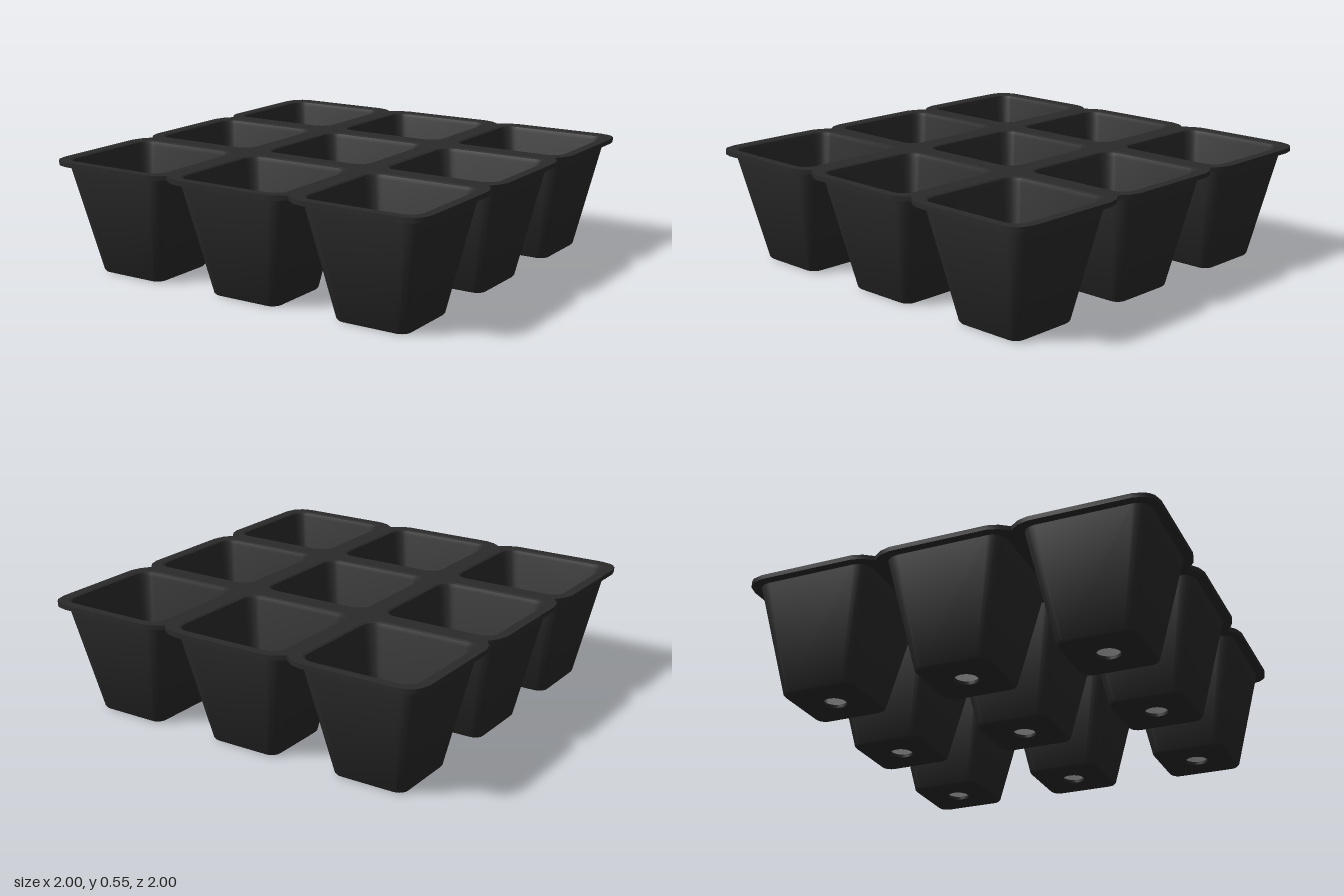
import * as THREE from 'three';
import { toCreasedNormals } from 'three/addons/utils/BufferGeometryUtils.js';

const PITCH = 0.667, TOP = 0.552, UNDER = 0.53, ARC = 5;

// Rounded square, anticlockwise, ARC + 1 points per corner; a null radius gives a circle
function ring(half, radius) {
  const points = [];
  for (let k = 0; k < 4; k++) {
    for (let i = 0; i <= ARC; i++) {
      if (radius === null) {
        const a = (k + (i + 0.5) / (ARC + 1)) * Math.PI / 2;
        points.push(new THREE.Vector2(half * Math.cos(a), half * Math.sin(a)));
      } else {
        const a = (k + i / ARC) * Math.PI / 2, c = half - radius;
        const sx = k === 0 || k === 3 ? 1 : -1, sy = k < 2 ? 1 : -1;
        points.push(new THREE.Vector2(sx * c + radius * Math.cos(a), sy * c + radius * Math.sin(a)));
      }
    }
  }
  return points;
}

// Skin through a closed series of rings: [half size, corner radius, height]
function loft(profile) {
  const positions = [], index = [], n = 4 * (ARC + 1);
  for (const [half, radius, y] of profile) {
    for (const p of ring(half, radius)) positions.push(p.x, y, -p.y);
  }
  for (let j = 0; j < profile.length; j++) {
    const lo = j * n, hi = ((j + 1) % profile.length) * n;
    for (let i = 0; i < n; i++) {
      const k = (i + 1) % n;
      index.push(lo + i, lo + k, hi + k, lo + i, hi + k, hi + i);
    }
  }
  const geometry = new THREE.BufferGeometry();
  geometry.setAttribute('position', new THREE.Float32BufferAttribute(positions, 3));
  geometry.setIndex(index);
  return toCreasedNormals(geometry, 0.6);
}

// Scalloped rim outline: one side repeated four times
function rimOutline() {
  const notch = [[-0.095, -1], [-0.045, -0.985], [0, -0.952], [0.045, -0.985], [0.095, -1]];
  const side = [[-0.9, -1]];
  for (const x of [-PITCH / 2, PITCH / 2]) {
    for (const [dx, y] of notch) side.push([x + dx, y]);
  }
  side.push([0.9, -1], [0.95, -0.987], [0.971, -0.971], [0.987, -0.95]);
  const points = [];
  for (let k = 0; k < 4; k++) {
    for (const [x, y] of side) {
      points.push(new THREE.Vector2(x, y).rotateAround(new THREE.Vector2(), k * Math.PI / 2));
    }
  }
  return points;
}

export function createModel() {
  const model = new THREE.Group();
  model.name = 'seedTray';
  const plastic = new THREE.MeshStandardMaterial({ color: 0x2a2a2a });
  plastic.name = 'black plastic';

  const cells = [];
  for (let row = -1; row <= 1; row++) {
    for (let col = -1; col <= 1; col++) cells.push([col * PITCH, row * PITCH]);
  }

  // Flat rim joining all the cells
  const shape = new THREE.Shape(rimOutline());
  for (const [x, y] of cells) {
    const hole = ring(0.288, 0.07).map(p => new THREE.Vector2(p.x + x, p.y + y));
    shape.holes.push(new THREE.Path(hole.reverse()));
  }
  const rimGeometry = new THREE.ExtrudeGeometry(shape, { depth: TOP - UNDER, bevelEnabled: false });
  rimGeometry.rotateX(-Math.PI / 2).translate(0, UNDER, 0);
  const rim = new THREE.Mesh(toCreasedNormals(rimGeometry, 0.6), plastic);
  rim.name = 'rim';
  model.add(rim);

  // Tapered cups with a drain hole in the floor
  const cup = loft([
    [0.055, null, 0],
    [0.178, 0.045, 0],
    [0.185, 0.05, 0.008],
    [0.29, 0.07, UNDER],
    [0.288, 0.07, TOP],
    [0.278, 0.064, TOP - 0.005],
    [0.271, 0.06, TOP - 0.022],
    [0.172, 0.035, 0.015],
    [0.055, null, 0.015],
  ]);
  for (const [x, z] of cells) {
    const mesh = new THREE.Mesh(cup, plastic);
    mesh.name = 'cup';
    mesh.position.set(x, 0, z);
    model.add(mesh);
  }
  return model;
}
